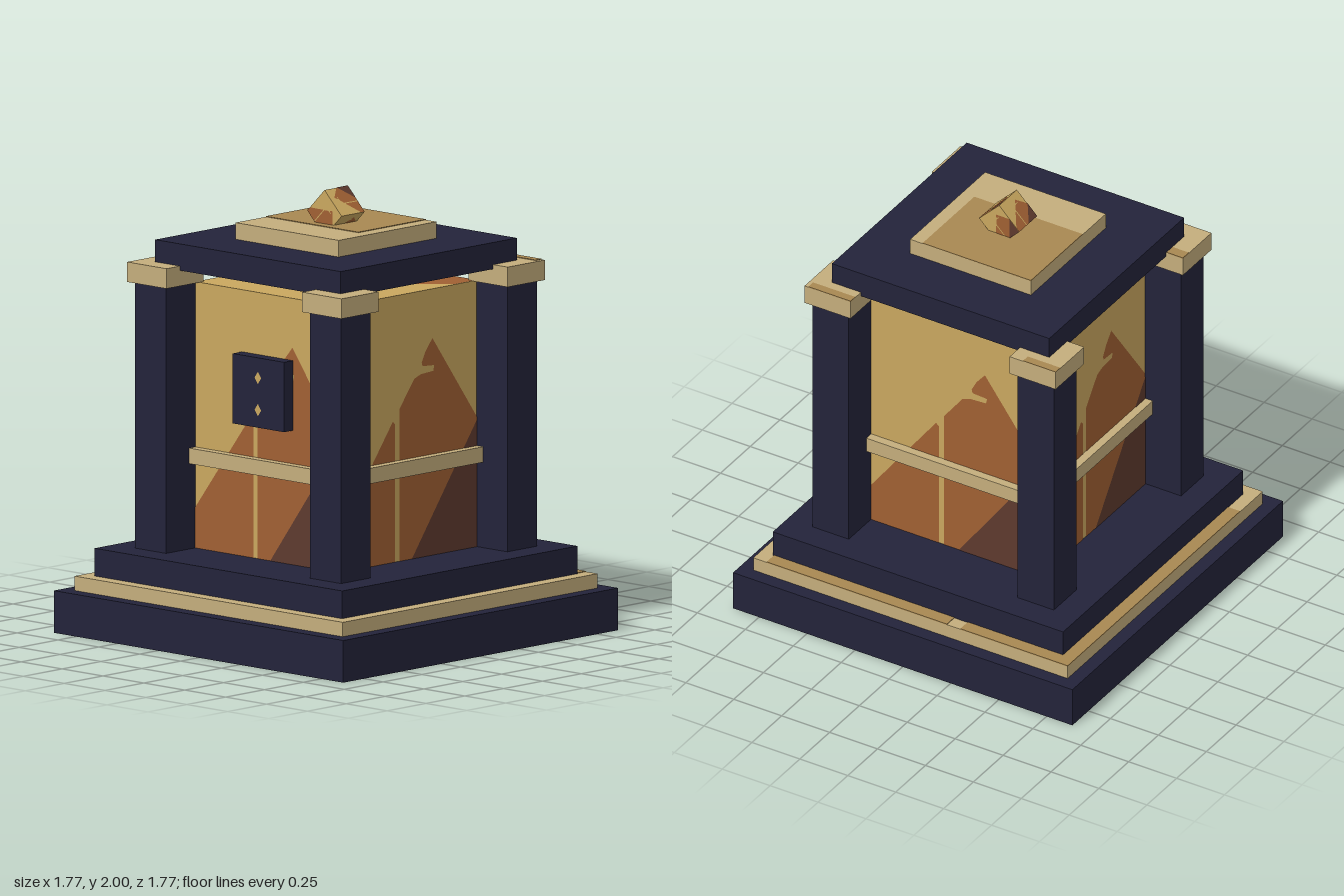
import * as THREE from 'three';

const mat = (name, color) => {
  const m = new THREE.MeshStandardMaterial({ color });
  m.name = name;
  return m;
};

export function createModel() {
  const navy = mat('navy', 0x23233a);
  const trim = mat('pale gold trim', 0xc4ad7c);
  const tan = mat('worn tan', 0xa88852);
  const gold = mat('panel gold', 0xc9a75f);
  const rust = mat('mountain rust', 0xa06033);
  const umber = mat('shadow umber', 0x5e3a2e);

  const model = new THREE.Group();
  model.name = 'shrine';

  const add = (parent, name, geometry, material) => {
    const mesh = new THREE.Mesh(geometry, material);
    mesh.name = name;
    parent.add(mesh);
    return mesh;
  };
  // Box given by its x, y and z ranges
  const block = (name, material, x0, x1, y0, y1, z0, z1) => {
    const mesh = add(model, name, new THREE.BoxGeometry(x1 - x0, y1 - y0, z1 - z0), material);
    mesh.position.set((x0 + x1) / 2, (y0 + y1) / 2, (z0 + z1) / 2);
    return mesh;
  };
  const slab = (name, material, half, y0, y1) =>
    block(name, material, -half, half, y0, y1, -half, half);
  // Thin painted patch on an upward face
  const patch = (name, y, x0, x1, z0, z1) => block(name, tan, x0, x1, y - 0.002, y + 0.003, z0, z1);
  const polygon = (points) =>
    new THREE.ShapeGeometry(new THREE.Shape(points.map(([x, y]) => new THREE.Vector2(x, y))));

  // Mountain picture, drawn on a 0.88 x 1.2 panel centred at the origin
  const W = 0.88, H = 1.2;
  const pictureLayers = [
    ['mountainFoot', rust, 0.002,
      [[-0.44, -0.6], [-0.085, -0.6], [-0.085, 0.02], [-0.1, 0.035], [-0.44, -0.418]]],
    ['mountain', rust, 0.002,
      [[-0.058, -0.6], [0.44, -0.6], [0.44, -0.015], [0.154, 0.378], [0.11, 0.325], [0.085, 0.277],
        [0.09, 0.26], [0.165, 0.255], [0.16, 0.23], [0.08, 0.225], [0.037, 0.21], [-0.058, 0.086]]],
    ['mountainShade', umber, 0.004, [[0.02, -0.6], [0.44, -0.6], [0.44, -0.024]]],
  ].map(([name, material, lift, points]) => ({ name, material, lift, geometry: polygon(points) }));

  // Gold box with the mountain picture painted on every face
  const paintedBox = (name, w, h, d) => {
    const group = new THREE.Group();
    group.name = name;
    add(group, name + 'Body', new THREE.BoxGeometry(w, h, d), gold);
    const q = Math.PI / 2;
    const faces = [
      [0, 0, 0, w, h, d], [0, q, 0, d, h, w], [0, 2 * q, 0, w, h, d],
      [0, -q, 0, d, h, w], [-q, 0, 2 * q, w, d, h], [q, 0, 0, w, d, h],
    ];
    for (const [rx, ry, rz, fw, fh, depth] of faces) {
      const face = new THREE.Group();
      face.name = name + 'Picture';
      face.rotation.set(rx, ry, rz);
      for (const layer of pictureLayers) {
        const mesh = add(face, layer.name, layer.geometry, layer.material);
        mesh.scale.set(fw / W, fh / H, 1);
        mesh.position.z = depth / 2 + layer.lift * Math.min(1, 0.5 + w / 2);
      }
      group.add(face);
    }
    model.add(group);
    return group;
  };

  // Stepped base
  slab('base', navy, 0.885, 0, 0.19);
  slab('baseTrim', trim, 0.82, 0.19, 0.255);
  slab('plinth', navy, 0.757, 0.255, 0.38);
  patch('baseTrimWearLeft', 0.255, -0.82, -0.757, -0.82, 0.63);
  patch('baseTrimWearBack', 0.255, -0.757, -0.26, -0.82, -0.757);
  patch('baseTrimWearBack', 0.255, -0.19, 0.75, -0.82, -0.757);

  // Painted chamber
  paintedBox('chamber', 0.882, 1.2, 0.882).position.y = 0.98;

  // Corner pillars with caps
  for (const sx of [-1, 1]) {
    for (const sz of [-1, 1]) {
      const pillar = add(model, 'pillar', new THREE.BoxGeometry(0.19, 1.2, 0.19), navy);
      pillar.position.set(sx * 0.535, 0.98, sz * 0.535);
      const cap = add(model, 'pillarCap', new THREE.BoxGeometry(0.24, 0.09, 0.24), trim);
      cap.position.set(sx * 0.535, 1.625, sz * 0.535);
    }
  }
  patch('capWear', 1.67, -0.655, -0.485, -0.655, -0.615);
  patch('capWear', 1.67, 0.415, 0.635, -0.655, -0.615);
  patch('capWear', 1.67, -0.655, -0.57, 0.415, 0.465);

  // Rails across the four sides
  for (let i = 0; i < 4; i++) {
    const side = new THREE.Group();
    side.name = 'railSide';
    side.rotation.y = (i * Math.PI) / 2;
    add(side, 'rail', new THREE.BoxGeometry(0.88, 0.07, 0.06), trim).position.set(0, 0.8, 0.452);
    model.add(side);
  }

  // Front plaque with two small inlays
  block('plaque', navy, -0.157, 0.157, 0.985, 1.3, 0.44, 0.5);
  const inlay = polygon([[-0.02, 0], [0, -0.028], [0.02, 0], [0, 0.028]]);
  for (const y of [1.065, 1.21]) {
    add(model, 'plaqueInlay', inlay, gold).position.set(0, y, 0.503);
  }

  // Roof and finial
  slab('roof', navy, 0.567, 1.65, 1.77);
  slab('roofStep', trim, 0.315, 1.77, 1.845);
  patch('roofStepWear', 1.845, -0.315, 0.25, -0.315, 0.12);
  const finial = paintedBox('finial', 0.148, 0.148, 0.148);
  finial.position.y = 1.895;
  finial.rotation.z = -Math.PI / 4;

  return model;
}
